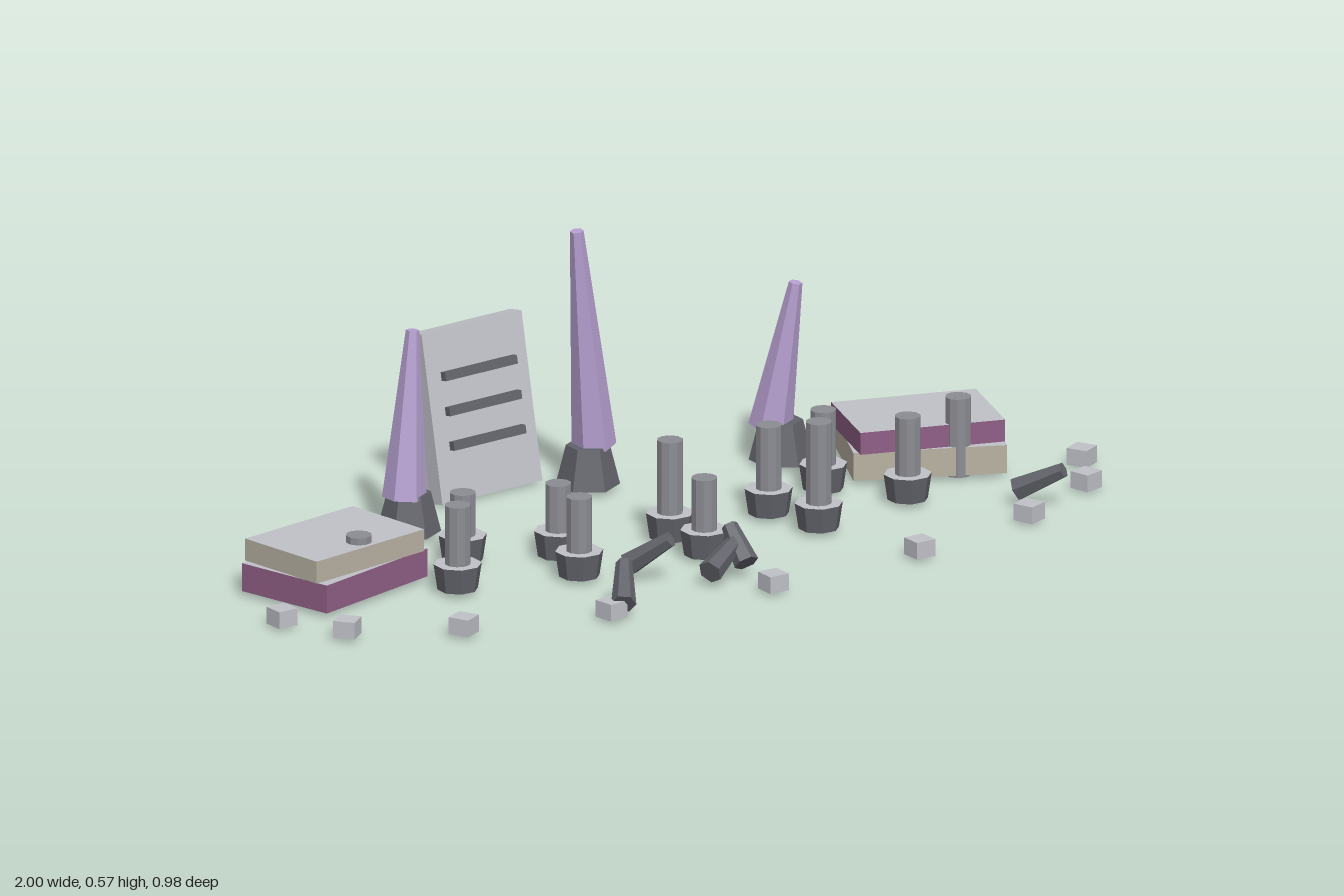
import * as THREE from 'three';

const mat = (name, color) => {
  const m = new THREE.MeshStandardMaterial({ color });
  m.name = name;
  return m;
};

export function createModel() {
  const root = new THREE.Group();
  root.name = 'ruinedPlaza';

  const pale = mat('paleStone', 0xc0c1c8);
  const grey = mat('greyStone', 0x8c8d93);
  const dark = mat('darkStone', 0x62636a);
  const plum = mat('plumStone', 0x8f5f86);
  const sand = mat('sandStone', 0xb8b2a2);
  const violet = mat('violetCrystal', 0xb6a0d0);

  // Faceted geometry with one normal per face
  const flat = (g) => {
    const f = g.toNonIndexed();
    f.computeVertexNormals();
    return f;
  };
  const add = (name, geo, material, x, y, z, parent = root) => {
    const m = new THREE.Mesh(flat(geo), material);
    m.name = name;
    m.position.set(x, y, z);
    parent.add(m);
    return m;
  };
  // Tapered prism running between two points
  const beam = (name, a, b, rA, rB, sides, material) => {
    const p = new THREE.Vector3(...a), q = new THREE.Vector3(...b);
    const dir = q.clone().sub(p);
    const mid = p.clone().add(q).multiplyScalar(0.5);
    const m = add(name, new THREE.CylinderGeometry(rB, rA, dir.length(), sides), material, mid.x, mid.y, mid.z);
    m.quaternion.setFromUnitVectors(new THREE.Vector3(0, 1, 0), dir.normalize());
    return m;
  };
  const post = (x, z, bottom, top) => add('post',
    new THREE.CylinderGeometry(0.027, 0.027, top - bottom, 10), grey, x, (top + bottom) / 2, z);

  // Two arcs of posts on octagonal footings: x, z, top
  const posts = [
    [-0.44, -0.035, 0.155], [-0.26, 0.045, 0.165], [-0.005, 0.07, 0.22], [0.25, 0.045, 0.2], [0.43, -0.03, 0.18],
    [-0.55, 0.118, 0.19], [-0.295, 0.18, 0.18], [-0.005, 0.2, 0.175], [0.285, 0.18, 0.238], [0.54, 0.118, 0.188],
  ];
  for (const [x, z, top] of posts) {
    const footing = new THREE.CylinderGeometry(0.05, 0.042, 0.054, 8).rotateY(Math.PI / 8);
    add('footing', footing, [dark, pale, dark], x, 0.037, z);
    post(x, z, 0.06, top);
  }

  // Crooked stacks of two slabs, each with a post through it
  const slab = (w, h, d, side, x, y, z, turn) => {
    const m = add('slab', new THREE.BoxGeometry(w, h, d), [side, side, pale, side, side, side], x, y, z);
    m.rotation.y = turn;
  };
  slab(0.318, 0.06, 0.227, plum, -0.745, 0.04, -0.043, 0.3);
  slab(0.305, 0.047, 0.21, sand, -0.745, 0.0935, -0.043, 0.2);
  slab(0.318, 0.06, 0.227, sand, 0.698, 0.04, -0.078, -0.405);
  slab(0.308, 0.047, 0.21, plum, 0.69, 0.0935, -0.077, -0.28);
  post(-0.73, 0.025, 0.005, 0.132);
  post(0.72, 0.028, 0.005, 0.173);

  // Leaning crystal spires on hexagonal plinths
  const spires = [
    { plinth: [-0.433, -0.25], from: [-0.445, 0.085, -0.248], to: [-0.415, 0.435, -0.264] },
    { plinth: [0.04, -0.312], from: [0.058, 0.09, -0.317], to: [0.003, 0.565, -0.296] },
    { plinth: [0.46, -0.237], from: [0.443, 0.08, -0.25], to: [0.479, 0.394, -0.211] },
  ];
  for (const s of spires) {
    add('spirePlinth', new THREE.CylinderGeometry(0.045, 0.066, 0.085, 6), dark, s.plinth[0], 0.0525, s.plinth[1]);
    beam('spire', s.from, s.to, 0.046, 0.014, 6, violet);
  }

  // Tilted standing tablet with three raised bars
  const tablet = new THREE.Group();
  tablet.name = 'tablet';
  tablet.position.set(-0.158, 0.179, -0.426);
  tablet.rotation.set(-0.195, 0.1, 0, 'YXZ');
  root.add(tablet);
  add('tabletPanel', new THREE.BoxGeometry(0.26, 0.355, 0.04), pale, 0, 0, 0, tablet);
  for (const y of [0.083, 0.01, -0.062]) {
    add('tabletBar', new THREE.BoxGeometry(0.187, 0.018, 0.024), dark, 0, y, 0.023, tablet);
  }

  // Fallen tapered shafts, low end to raised end
  const shafts = [
    [[-0.21, 0.035, 0.235], [-0.155, 0.098, 0.305]],
    [[-0.36, 0.035, 0.45], [-0.308, 0.092, 0.37]],
    [[-0.1, 0.035, 0.37], [0.005, 0.075, 0.315]],
    [[-0.005, 0.035, 0.36], [-0.005, 0.098, 0.295]],
    [[0.72, 0.035, 0.25], [0.785, 0.085, 0.325]],
  ];
  for (const [a, b] of shafts) beam('fallenShaft', a, b, 0.026, 0.017, 6, dark);

  // Outer arc of small blocks: x, z, turn
  const blocks = [
    [-0.973, 0.114, 0.05], [-0.9, 0.247, 0.7], [-0.69, 0.36, 0.5], [-0.38, 0.435, 0.2], [-0.005, 0.462, 0.03],
    [0.367, 0.435, 0.05], [0.68, 0.36, 0.4], [0.89, 0.247, 0.3], [0.967, 0.11, 0.5],
  ];
  for (const [x, z, turn] of blocks) {
    add('block', new THREE.BoxGeometry(0.046, 0.036, 0.046), pale, x, 0.025, z).rotation.y = turn;
  }

  return root;
}
